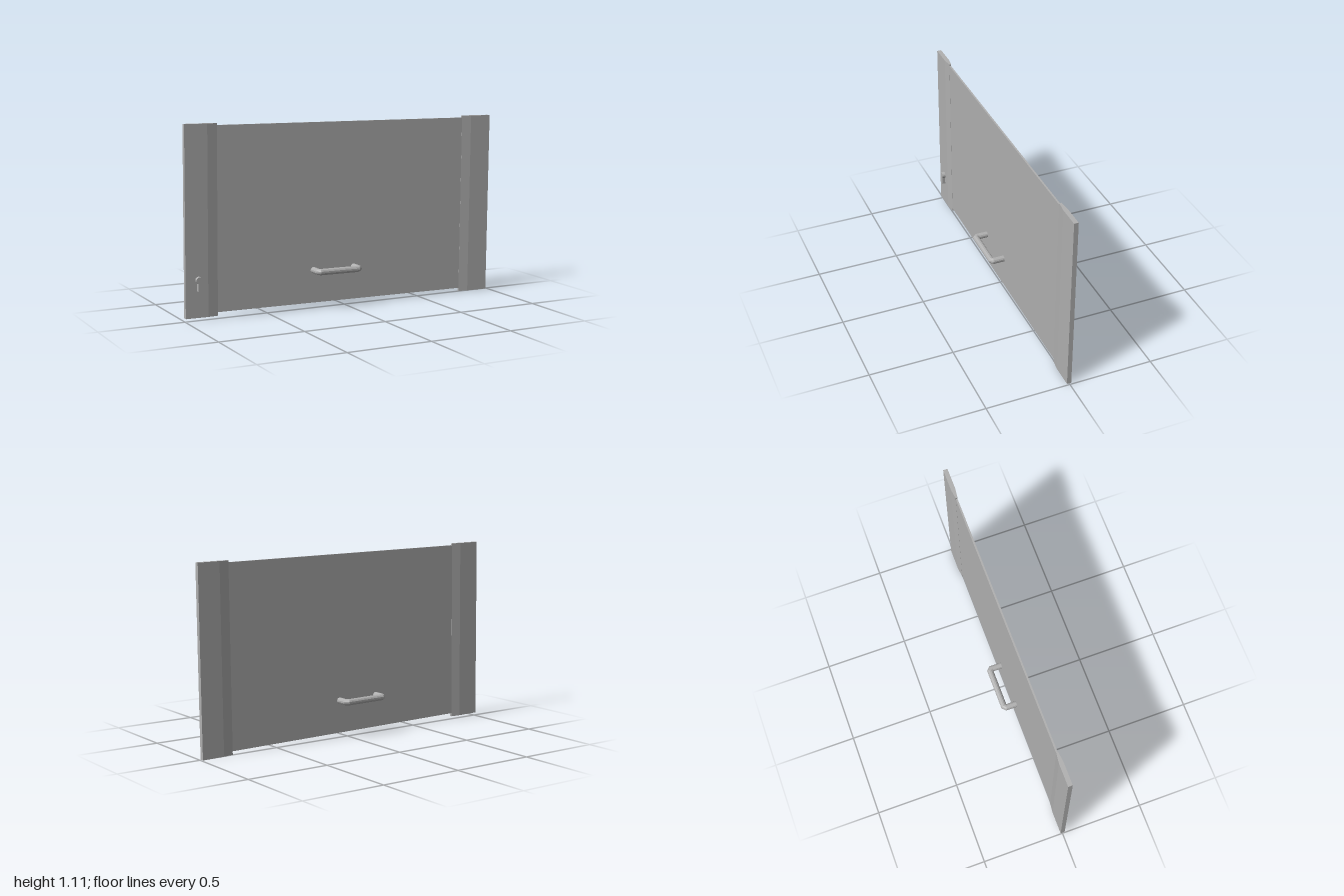
import * as THREE from 'three';

const grey = new THREE.MeshStandardMaterial({ color: 0xb0b0b0 });
grey.name = 'grey';

function part(name, geometry, parent) {
  const mesh = new THREE.Mesh(geometry, grey);
  mesh.name = name;
  parent.add(mesh);
  return mesh;
}

// Upright side strip: thick outer edge, tapering toward the panel
function stripGeometry(side) {
  const pts = [[0.9947, -0.013], [0.9947, 0.013], [0.86, 0.013], [0.8, 0.0058], [0.8, -0.0058], [0.86, -0.013]];
  const shape = new THREE.Shape(pts.map(([x, z]) => new THREE.Vector2(side * x, z)));
  return new THREE.ExtrudeGeometry(shape, { depth: 1.088, bevelEnabled: false }).rotateX(-Math.PI / 2);
}

// Closed rectangular tube with mitred, chamfered corners, lying in the xz plane
function ringGeometry(hx, hz, r, cut, sides) {
  const path = [
    [hx, -hz + cut], [hx, hz - cut], [hx - cut, hz], [-hx + cut, hz],
    [-hx, hz - cut], [-hx, -hz + cut], [-hx + cut, -hz], [hx - cut, -hz],
  ];
  // outward mitre direction at each path point
  const s = r * Math.tan(Math.PI / 8);
  const loops = path.map(([x, z]) => {
    const onSide = Math.abs(x) === hx;
    const ox = Math.sign(x) * (onSide ? r : s);
    const oz = Math.sign(z) * (onSide ? s : r);
    return Array.from({ length: sides }, (_, j) => {
      const a = ((j + 0.5) / sides) * Math.PI * 2;
      return [x + ox * Math.cos(a), r * Math.sin(a), z + oz * Math.cos(a)];
    });
  });
  const pos = [];
  loops.forEach((loop, i) => {
    const next = loops[(i + 1) % loops.length];
    for (let j = 0; j < sides; j++) {
      const k = (j + 1) % sides;
      pos.push(...loop[j], ...loop[k], ...next[j], ...next[j], ...loop[k], ...next[k]);
    }
  });
  const g = new THREE.BufferGeometry();
  g.setAttribute('position', new THREE.Float32BufferAttribute(pos, 3));
  g.computeVertexNormals();
  return g;
}

export function createModel() {
  const model = new THREE.Group();
  model.name = 'doorLeaf';

  // The whole leaf hangs very slightly askew
  const leaf = new THREE.Group();
  leaf.name = 'tiltedLeaf';
  leaf.position.y = 0.554;
  leaf.rotation.z = -0.0098;
  model.add(leaf);

  // Thin main panel
  part('panel', new THREE.BoxGeometry(1.61, 1.057, 0.01), leaf).position.y = 0.0045;

  // Side strips
  for (const side of [-1, 1]) {
    part(side < 0 ? 'rightStrip' : 'leftStrip', stripGeometry(side), leaf).position.y = -0.544;
  }

  // Pull handles on both faces, one continuous tube through the panel
  part('handle', ringGeometry(0.132, 0.08, 0.0185, 0.012, 12), leaf).position.set(-0.069, -0.3305, 0);

  // Lock cylinder: round head with a narrow stem
  const lock = new THREE.Shape();
  const r = 0.02, w = 0.01;
  const a = Math.asin(w / r);
  lock.moveTo(-w, -0.062);
  lock.lineTo(w, -0.062);
  lock.absarc(0, 0, r, -Math.PI / 2 + a, Math.PI * 1.5 - a, false);
  lock.closePath();
  const lockGeometry = new THREE.ExtrudeGeometry(lock, { depth: 0.033, bevelEnabled: false, curveSegments: 12 });
  part('lockCylinder', lockGeometry, leaf).position.set(-0.917, -0.3285, 0);

  return model;
}
